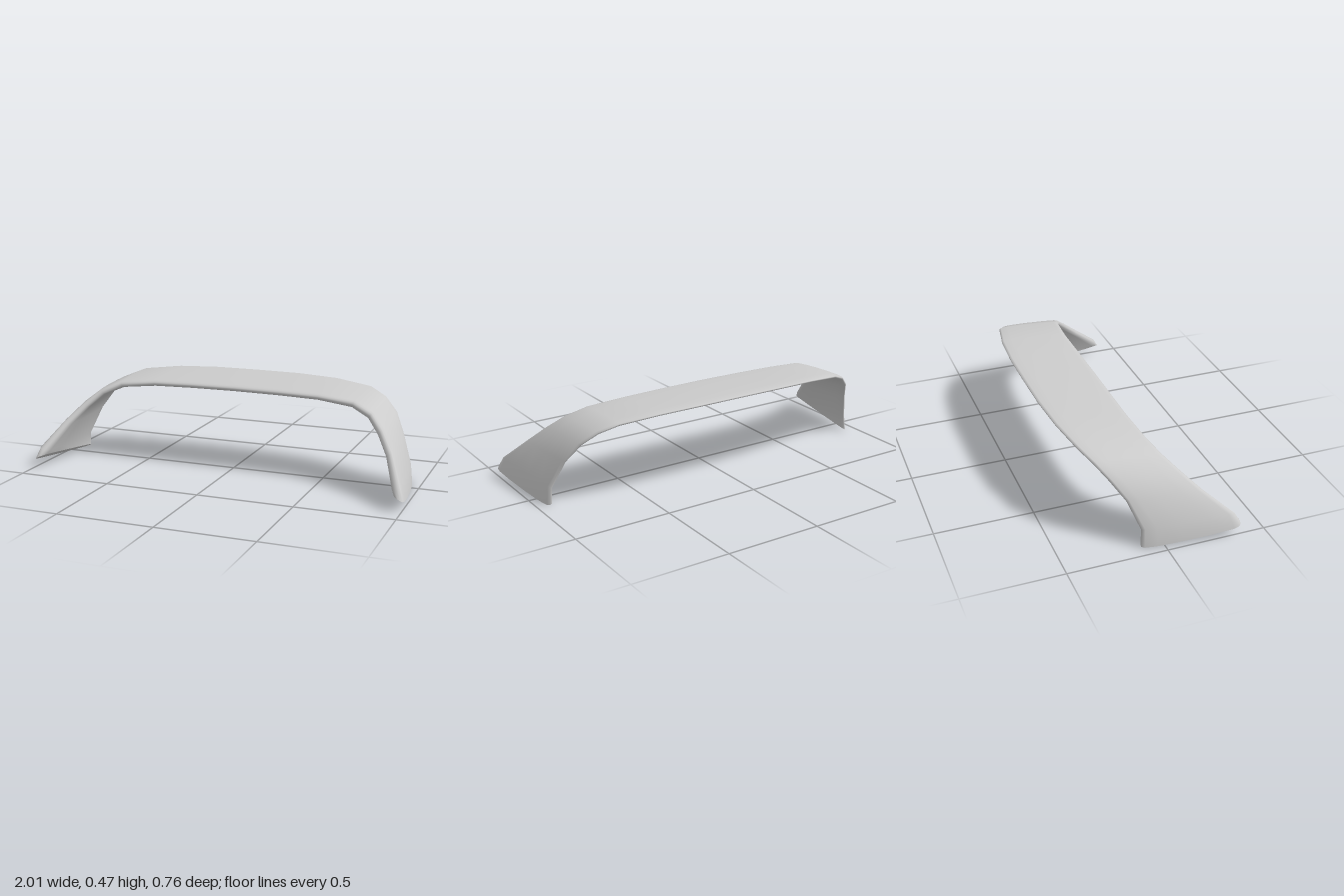
import * as THREE from 'three';

// Half-span stations: leading edge xyz, trailing edge xyz, tilt of the outer normal (deg), half thickness
const stations = [
  [0, 0.437, 0.0, 0, 0.465, -0.384, 0, 0.016],
  [0.24, 0.435, 0.0, 0.24, 0.464, -0.382, 2, 0.016],
  [0.46, 0.430, 0.002, 0.46, 0.457, -0.365, 6, 0.016],
  [0.65, 0.413, 0.02, 0.66, 0.435, -0.325, 18, 0.018],
  [0.75, 0.373, 0.06, 0.75, 0.397, -0.28, 35, 0.019],
  [0.82, 0.310, 0.125, 0.82, 0.335, -0.228, 46, 0.02],
  [0.89, 0.225, 0.215, 0.873, 0.24, -0.162, 57, 0.021],
  [0.96, 0.105, 0.355, 0.925, 0.097, -0.105, 66, 0.026],
  [0.98, 0.062, 0.38, 0.932, 0.012, -0.11, 118, 0.031],
];

// Aerofoil outline: position along the chord and height in half thicknesses
const upper = [[0.004, 0.45], [0.03, 0.8], [0.08, 1], [0.3, 1.05], [0.6, 0.95], [0.85, 0.75], [0.97, 0.5], [1, 0.2]];
const outline = [[0, 0], ...upper, ...upper.map(([t, h]) => [t, -h]).reverse()];

function section(s, side) {
  const lead = new THREE.Vector3(s[0] * side, s[1], s[2]);
  const trail = new THREE.Vector3(s[3] * side, s[4], s[5]);
  const a = THREE.MathUtils.degToRad(s[6]);
  const normal = new THREE.Vector3(Math.sin(a) * side, Math.cos(a), 0);
  return outline.map(([t, h]) => lead.clone().lerp(trail, t).addScaledVector(normal, h * s[7]));
}

function meshFrom(points, index, name) {
  const geometry = new THREE.BufferGeometry().setFromPoints(points);
  geometry.setIndex(index);
  geometry.computeVertexNormals();
  const mesh = new THREE.Mesh(geometry, new THREE.MeshStandardMaterial({ color: 0xcccccc }));
  mesh.name = name;
  return mesh;
}

export function createModel() {
  const group = new THREE.Group();
  group.name = 'rearWing';
  const rings = [
    ...stations.slice(1).reverse().map((s) => section(s, -1)),
    ...stations.map((s) => section(s, 1)),
  ];
  const n = outline.length;

  // Continuous skin from foot to foot
  const index = [];
  for (let i = 0; i < rings.length - 1; i++) {
    for (let j = 0; j < n; j++) {
      const k = (j + 1) % n;
      const a = i * n + j, b = (i + 1) * n + j, c = (i + 1) * n + k, d = i * n + k;
      index.push(a, b, c, a, c, d);
    }
  }
  group.add(meshFrom(rings.flat(), index, 'wingBlade'));

  // Mounting faces closing both feet
  for (const side of [-1, 1]) {
    const ring = side < 0 ? rings[0] : rings[rings.length - 1];
    const centre = new THREE.Vector3();
    ring.forEach((p) => centre.addScaledVector(p, 1 / n));
    const fan = [];
    for (let j = 0; j < n; j++) {
      const k = (j + 1) % n;
      fan.push(n, ...(side < 0 ? [j, k] : [k, j]));
    }
    group.add(meshFrom([...ring, centre], fan, side < 0 ? 'rightFootFace' : 'leftFootFace'));
  }
  return group;
}
